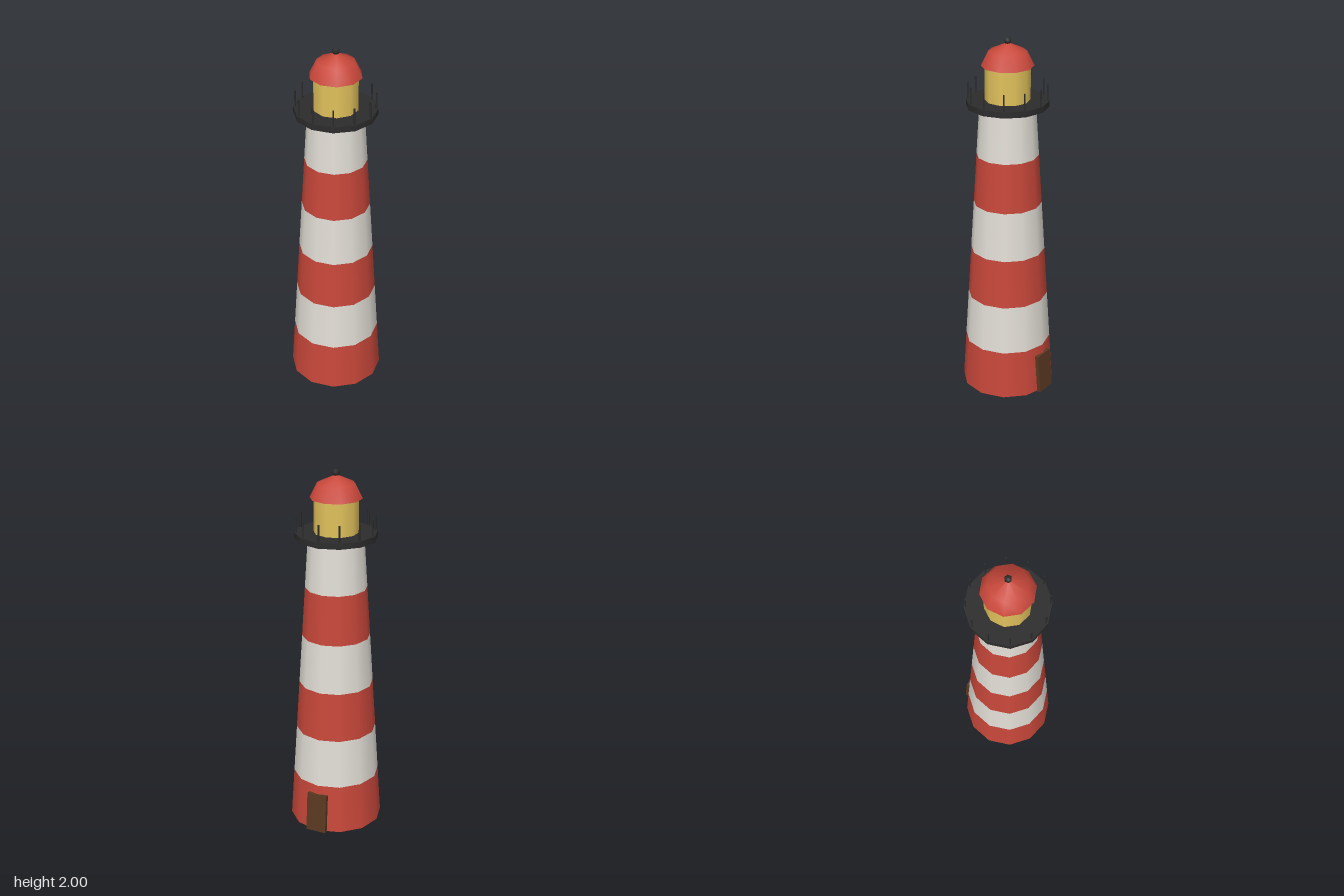
import * as THREE from 'three';

const mat = (name, color, side = THREE.FrontSide) => {
  const m = new THREE.MeshStandardMaterial({ color, side });
  m.name = name;
  return m;
};

export function createModel() {
  const red = mat('red paint', 0xc8473a);
  const roofRed = mat('roof red', 0xc8473a, THREE.DoubleSide);
  const white = mat('white paint', 0xe2ded6);
  const yellow = mat('lantern yellow', 0xe2c25c);
  const dark = mat('dark iron', 0x2c2c2c);
  const brown = mat('door wood', 0x5a3820);

  const group = new THREE.Group();
  group.name = 'lighthouse';
  const axis = new THREE.Group(); // everything centred on the tower axis
  axis.name = 'tower';
  axis.position.z = 0.005;
  group.add(axis);

  const add = (name, geo, material, y = 0, parent = axis) => {
    const mesh = new THREE.Mesh(geo, material);
    mesh.name = name;
    mesh.position.y = y;
    parent.add(mesh);
    return mesh;
  };

  // Tapered tower in alternating bands
  const towerHeight = 1.635, bands = 6, bandHeight = towerHeight / bands;
  const radiusAt = (t) => THREE.MathUtils.lerp(0.255, 0.15, t);
  for (let i = 0; i < bands; i++) {
    const open = i > 0;
    add('towerBand' + (i + 1),
      new THREE.CylinderGeometry(radiusAt((i + 1) / bands), radiusAt(i / bands), bandHeight, 12, 1, open),
      i % 2 ? white : red, (i + 0.5) * bandHeight);
  }

  // Gallery deck and its posts
  add('galleryDeck', new THREE.CylinderGeometry(0.22, 0.22, 0.032, 12), dark, 1.65);
  const postGeo = new THREE.CylinderGeometry(0.0045, 0.0045, 0.095, 6);
  for (let i = 0; i < 12; i++) {
    const a = (i / 12) * Math.PI * 2;
    const post = add('railPost' + (i + 1), postGeo, dark, 1.708);
    post.position.x = Math.sin(a) * 0.209;
    post.position.z = Math.cos(a) * 0.209;
  }

  // Lantern room
  add('lanternRoom', new THREE.CylinderGeometry(0.12, 0.12, 0.19, 10), yellow, 1.758);

  // Open-bottomed dome roof
  const dome = [[0.139, 1.848], [0.1, 1.927], [0, 1.972]].map(([r, y]) => new THREE.Vector2(r, y));
  add('domeRoof', new THREE.LatheGeometry(dome, 10), roofRed);

  // Ball finial
  add('finial', new THREE.SphereGeometry(0.02, 6, 5), dark, 1.98).rotation.y = Math.PI / 2;

  // Door at the back, leaning with the wall
  const door = add('door', new THREE.BoxGeometry(0.116, 0.222, 0.022), brown, 0.111, group);
  door.position.z = -0.2435;
  door.rotation.x = 0.077;

  return group;
}
